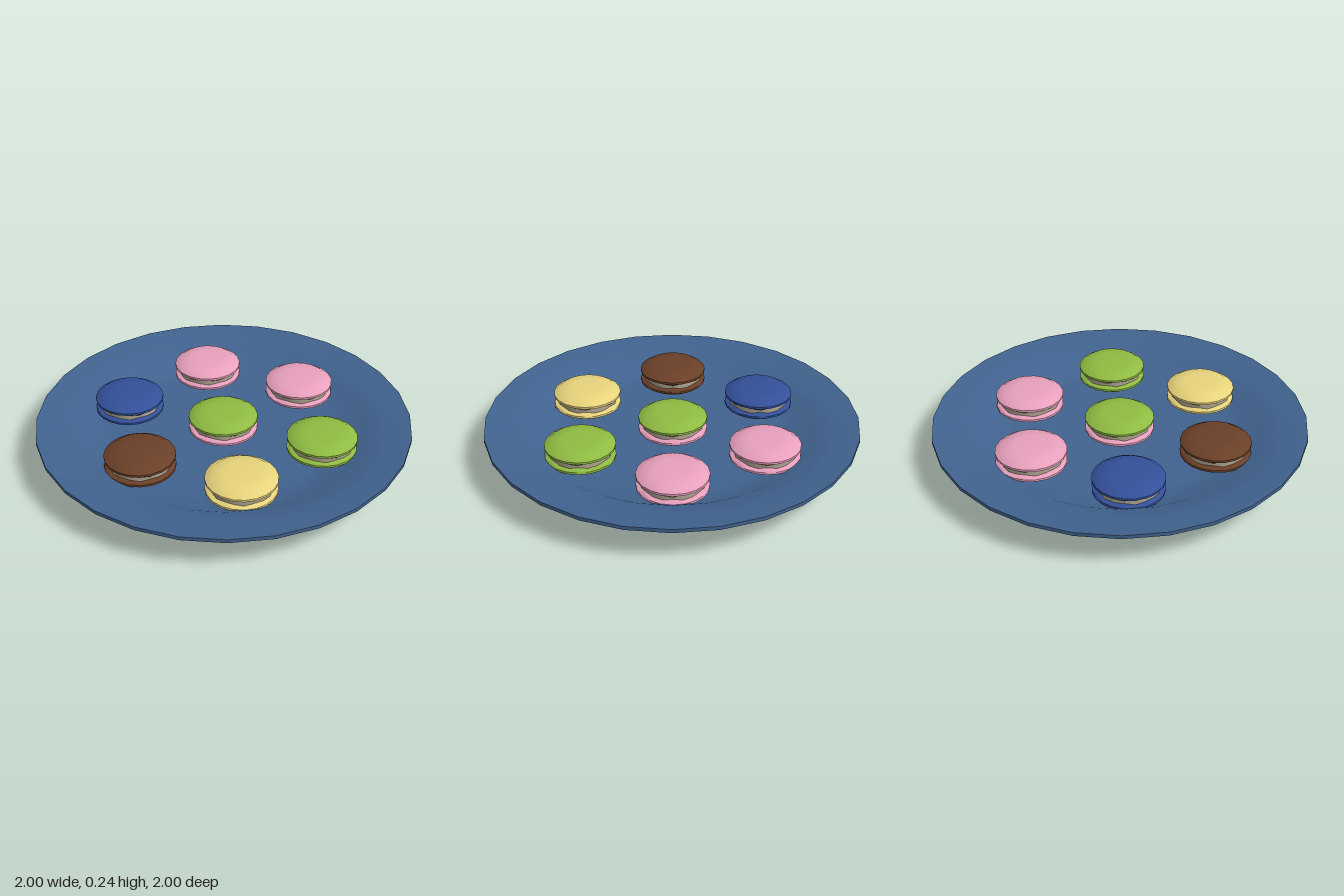
import * as THREE from 'three';
import { toCreasedNormals } from 'three/addons/utils/BufferGeometryUtils.js';

const GREEN = 0x8fbb42, PINK = 0xe8a0bd, BLUE = 0x34509a, BROWN = 0x6b4028, YELLOW = 0xe8d47c;
const CREAM = 0xb0a590, PLATE = 0x41638f;

const material = (color) => new THREE.MeshStandardMaterial({ color });

function lathe(points, sides) {
  return new THREE.LatheGeometry(points.map(([r, y]) => new THREE.Vector2(r, y)), sides);
}

function addMesh(parent, name, geometry, color) {
  const mesh = new THREE.Mesh(geometry, material(color));
  mesh.name = name;
  parent.add(mesh);
  return mesh;
}

// Domed biscuit shell with a flared rim and a wavy lower edge
function shellGeometry() {
  const geometry = lathe([
    [0, 0.012], [0.155, 0.012], [0.172, 0.016], [0.185, 0.024], [0.185, 0.036],
    [0.172, 0.042], [0.148, 0.06], [0.09, 0.065], [0, 0.067],
  ], 20);
  const p = geometry.attributes.position;
  for (let i = 0; i < p.count; i++) {
    const r = Math.hypot(p.getX(i), p.getZ(i));
    if (r > 0.15 && p.getY(i) < 0.02) {
      const a = Math.atan2(p.getX(i), p.getZ(i));
      p.setY(i, p.getY(i) + 0.005 * Math.sin(7 * a));
    }
  }
  geometry.computeVertexNormals();
  return toCreasedNormals(geometry, 0.8);
}

export function createModel() {
  const model = new THREE.Group();
  model.name = 'plateOfMacarons';

  // Wide shallow plate with a flat foot and a raised lip
  const plate = lathe([
    [0, 0], [0.58, 0], [0.64, 0.03], [0.91, 0.127], [1, 0.178], [1, 0.198],
    [0.87, 0.18], [0.75, 0.155], [0.66, 0.104], [0.56, 0.1], [0, 0.1],
  ], 28);
  addMesh(model, 'plate', toCreasedNormals(plate, 0.75), PLATE);

  const shell = shellGeometry();
  const filling = new THREE.CylinderGeometry(0.162, 0.162, 0.036, 20);

  // One macaron: two mirrored shells around a cream filling
  function addMacaron(x, z, topColor, bottomColor = topColor) {
    const macaron = new THREE.Group();
    macaron.name = 'macaron';
    addMesh(macaron, 'topShell', shell, topColor);
    addMesh(macaron, 'bottomShell', shell, bottomColor).rotation.x = Math.PI;
    addMesh(macaron, 'filling', filling, CREAM);
    macaron.position.set(x, 0.171, z - 0.004);
    model.add(macaron);
  }

  // One in the middle, six in a ring
  addMacaron(0, 0, GREEN, PINK);
  [PINK, GREEN, YELLOW, BROWN, BLUE, PINK].forEach((color, i) => {
    const a = (i * Math.PI) / 3;
    addMacaron(0.55 * Math.cos(a), 0.55 * Math.sin(a), color);
  });

  return model;
}
